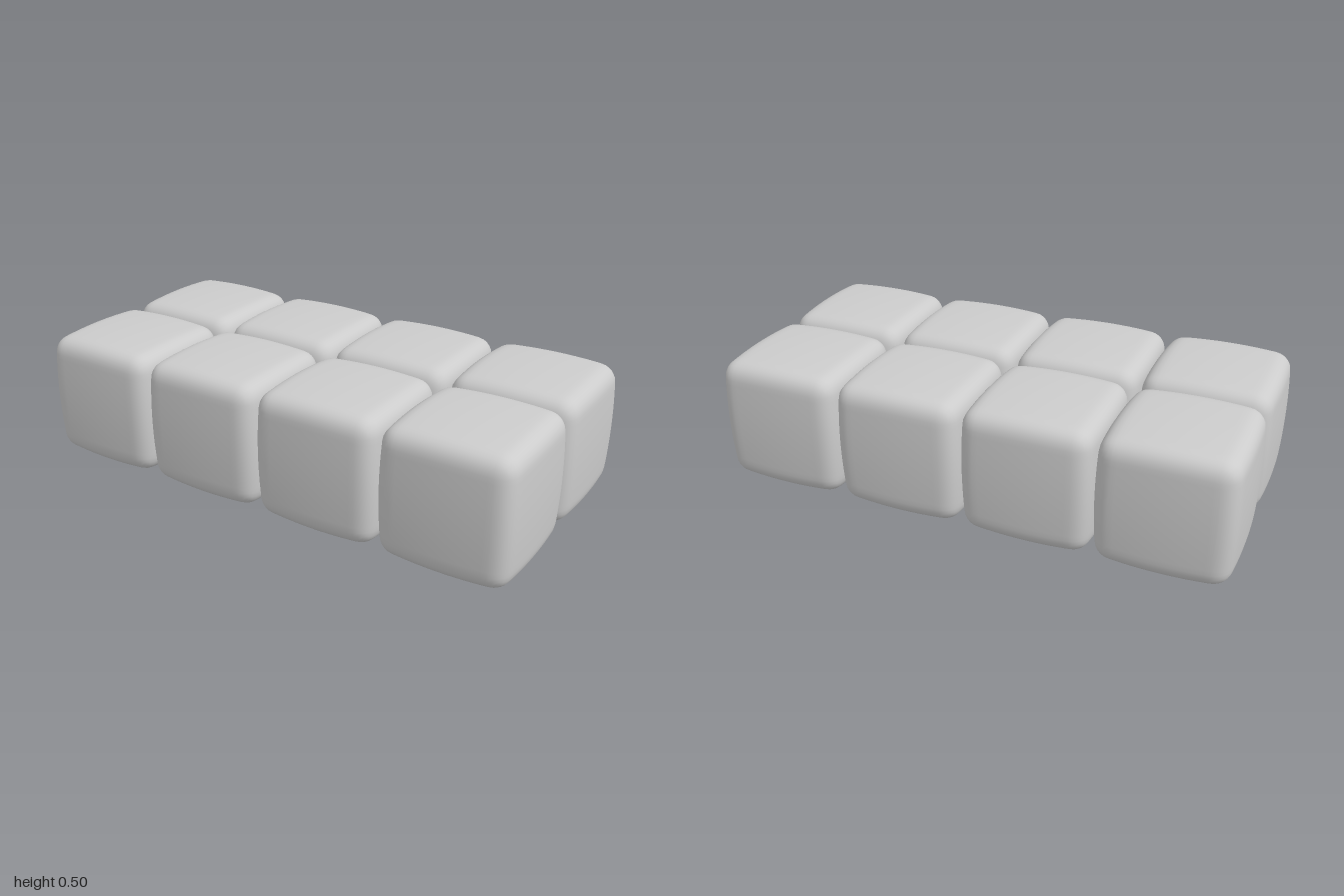
import * as THREE from 'three';
import { mergeVertices } from 'three/addons/utils/BufferGeometryUtils.js';

const HALF = 0.2525;   // half size of one block
const PITCH = 0.498;   // distance between block centres
const RADIUS = 0.06;   // edge rounding
const BULGE = 0.04;    // how far the faces swell toward their middles

// A cube with rounded edges and softly pillowed faces
function pillowCube() {
  const box = new THREE.BoxGeometry(2 * HALF, 2 * HALF, 2 * HALF, 24, 24, 24);
  box.deleteAttribute('uv');
  box.deleteAttribute('normal');
  const geometry = mergeVertices(box);
  const position = geometry.attributes.position;
  const limit = HALF - RADIUS;
  const lo = new THREE.Vector3(-limit, -limit, -limit);
  const hi = new THREE.Vector3(limit, limit, limit);
  const p = new THREE.Vector3();
  const core = new THREE.Vector3();

  for (let i = 0; i < position.count; i++) {
    // round the edges: fixed radius around an inner core box
    p.fromBufferAttribute(position, i);
    core.copy(p).clamp(lo, hi);
    p.sub(core).setLength(RADIUS).add(core);
    // pillow: each axis shrinks away from the middle of its face
    const [a, b, c] = p.toArray().map((v) => BULGE * (v / HALF) ** 2);
    position.setXYZ(i, p.x * (1 - b - c), p.y * (1 - a - c), p.z * (1 - a - b));
  }
  geometry.computeVertexNormals();
  return geometry;
}

export function createModel() {
  const model = new THREE.Group();
  model.name = 'cushionBlocks';
  const geometry = pillowCube();
  const material = new THREE.MeshStandardMaterial({ color: 0xcccccc });

  // Two rows of four blocks
  for (let row = 0; row < 2; row++) {
    for (let column = 0; column < 4; column++) {
      const block = new THREE.Mesh(geometry, material);
      block.name = `block${row + 1}_${column + 1}`;
      block.position.set((column - 1.5) * PITCH, HALF, (row - 0.5) * PITCH);
      model.add(block);
    }
  }
  return model;
}
